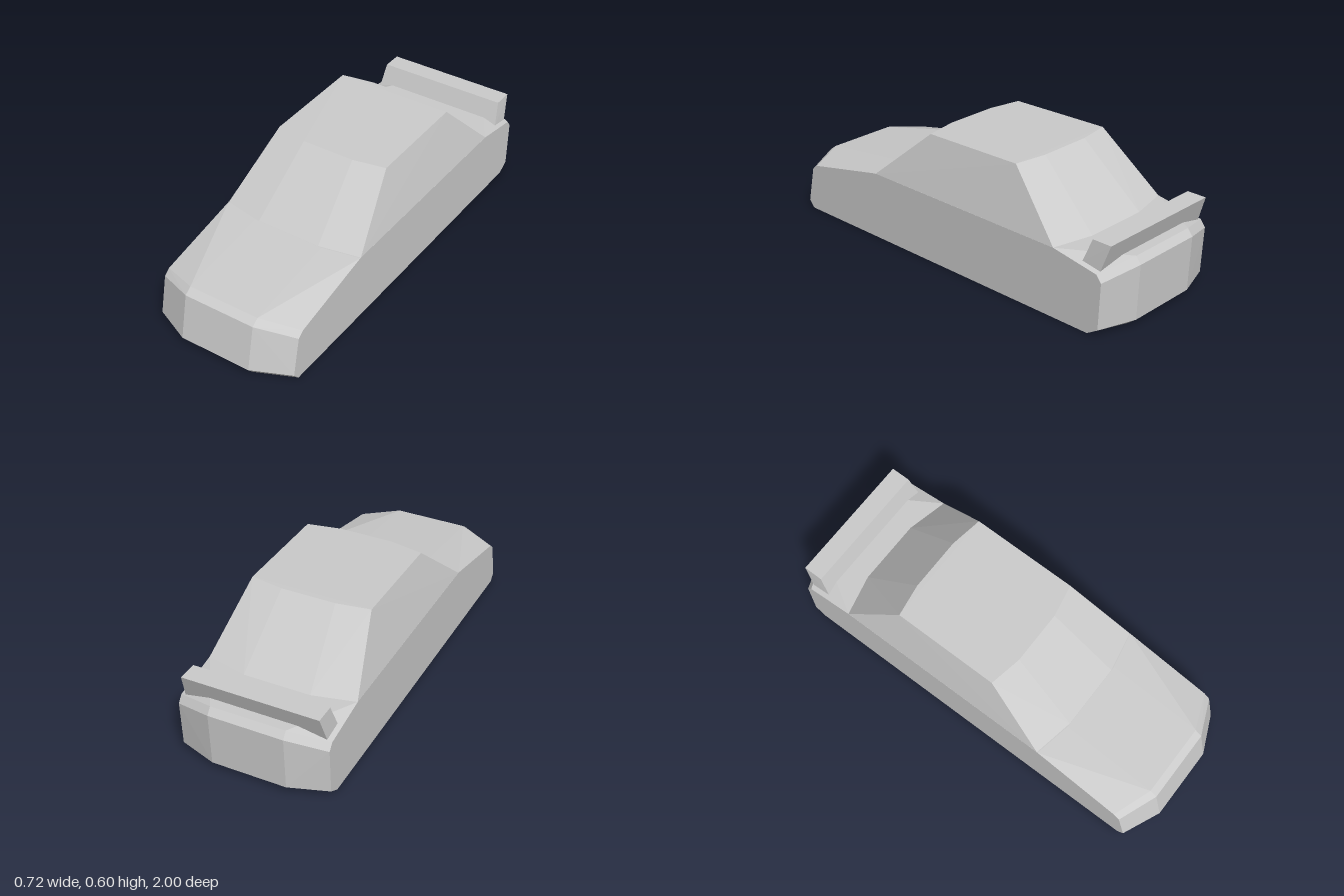
import * as THREE from 'three';
import { ConvexGeometry } from 'three/addons/geometries/ConvexGeometry.js';

const material = new THREE.MeshStandardMaterial({ color: 0xcccccc, flatShading: true });

// Convex faceted solid from [x, y, z] corners, mirrored across x.
function mirroredSolid(name, corners) {
  const points = corners.flatMap(([x, y, z]) => [
    new THREE.Vector3(x, y, z),
    new THREE.Vector3(-x, y, z),
  ]);
  const mesh = new THREE.Mesh(new ConvexGeometry(points), material);
  mesh.name = name;
  return mesh;
}

// Places a [z, y] side profile at a given half width.
const atWidth = (x, profile) => profile.map(([z, y]) => [x, y, z]);

export function createModel() {
  const group = new THREE.Group();
  group.name = 'car';

  // Lower body: a longer profile near the middle, a shorter one on the flanks
  const bodyMiddle = [
    [0.97, 0], [1, 0.034], [0.955, 0.244], [0.92, 0.269], [0.455, 0.328],
    [-0.975, 0.328], [-1, 0.295], [-0.99, 0.034], [-0.945, 0],
  ];
  const bodyFlank = [
    [0.89, 0], [0.92, 0.034], [0.88, 0.214], [0.85, 0.238], [0.42, 0.328],
    [-0.68, 0.328], [-0.915, 0.288], [-0.94, 0.255], [-0.93, 0.034], [-0.875, 0],
  ];
  group.add(mirroredSolid('body', [
    ...atWidth(0.178, bodyMiddle),
    ...atWidth(0.358, bodyFlank),
  ]));

  // Cabin: bowed windscreen and rear window, sides leaning inwards
  group.add(mirroredSolid('cabin', [
    ...atWidth(0.16, [[0.455, 0.327], [-0.728, 0.327]]),
    ...atWidth(0.358, [[0.417, 0.327], [-0.682, 0.327]]),
    ...atWidth(0.13, [[0.142, 0.592], [-0.43, 0.602]]),
    ...atWidth(0.288, [[0.112, 0.592], [-0.405, 0.602]]),
  ]));

  // Rear spoiler: a slanted bar set into the boot lid
  group.add(mirroredSolid('spoiler', [
    ...atWidth(0.336, [[-0.82, 0.305], [-0.915, 0.29]]),
    ...atWidth(0.323, [[-0.862, 0.417], [-0.957, 0.417]]),
  ]));

  return group;
}
